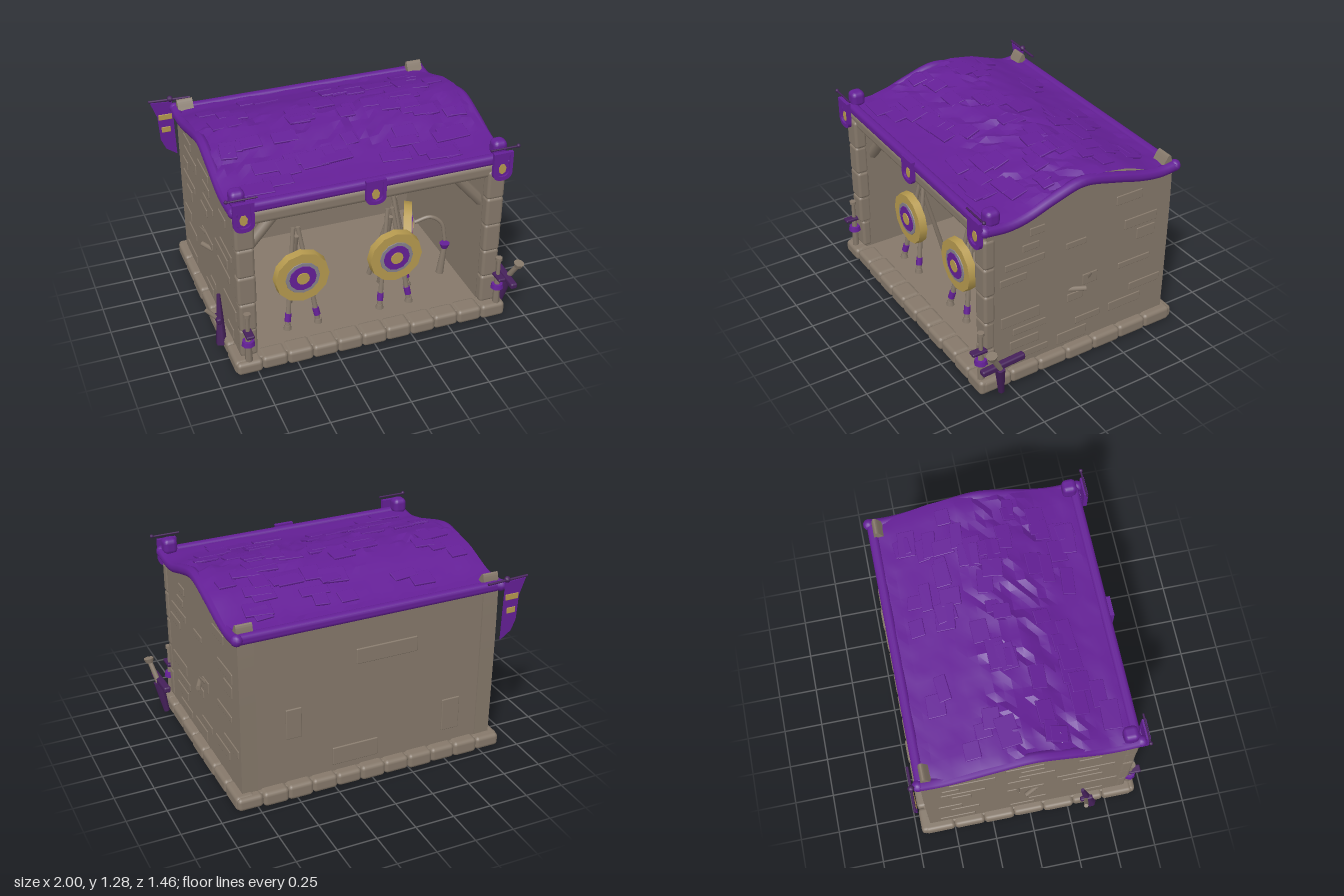
import * as THREE from 'three';
import { toCreasedNormals } from 'three/addons/utils/BufferGeometryUtils.js';
import { RoundedBoxGeometry } from 'three/addons/geometries/RoundedBoxGeometry.js';

const mat = (name, color, side = THREE.FrontSide) => {
  const m = new THREE.MeshStandardMaterial({ color, side });
  m.name = name;
  return m;
};
const V = (x, y, z) => new THREE.Vector3(x, y, z);

export function createModel() {
  const stone = mat('weathered stone', 0x85786a);
  const purple = mat('purple', 0x641f96, THREE.DoubleSide);
  const plum = mat('dark plum', 0x45205a);
  const gold = mat('straw gold', 0xb5994e);
  const grey = mat('grey paint', 0x85808a);

  const model = new THREE.Group();
  let seed = 7;
  const rnd = (a, b) => {
    seed = (seed * 16807) % 2147483647;
    return a + (b - a) * (seed / 2147483647);
  };
  const add = (name, geo, material, pos = [0, 0, 0], parent = model) => {
    const m = new THREE.Mesh(geo, material);
    m.name = name;
    m.position.set(...pos);
    parent.add(m);
    return m;
  };
  const box = (name, size, pos, material, r = 0.012, parent = model) =>
    add(name, new RoundedBoxGeometry(...size, 2, Math.min(r, Math.min(...size) / 2.1)), material, pos, parent);
  // Tapered rod between two points
  const rod = (name, a, b, r0, r1, material, parent = model, sides = 8) => {
    const m = add(name, new THREE.CylinderGeometry(r1, r0, a.distanceTo(b), sides), material, [0, 0, 0], parent);
    m.position.copy(a).lerp(b, 0.5);
    m.quaternion.setFromUnitVectors(V(0, 1, 0), b.clone().sub(a).normalize());
    return m;
  };

  // Floor and the row of worn stones round its edge
  box('floor', [1.7, 0.08, 1.34], [0, 0.055, -0.01], stone);
  for (const z of [0.63, -0.65])
    for (let i = 0; i < 11; i++)
      box('baseStone', [0.162, rnd(0.083, 0.098), rnd(0.12, 0.145)], [-0.8 + i * 0.16, 0.056, z], stone, 0.025);
  for (const x of [-0.825, 0.825])
    for (let i = 0; i < 7; i++)
      box('baseStone', [rnd(0.11, 0.135), rnd(0.083, 0.098), 0.2], [x, 0.056, 0.58 - i * 0.196], stone, 0.025);

  // Gable walls: extruded from their curved outline
  const eave = [[-0.67, 1.13], [-0.56, 1.12], [-0.42, 1.14], [-0.22, 1.195], [0, 1.24], [0.2, 1.19],
    [0.38, 1.13], [0.5, 1.115], [0.64, 1.13]];
  const wallShape = new THREE.Shape();
  wallShape.moveTo(-0.655, 0.06);
  wallShape.splineThru(eave.map(([z, y]) => new THREE.Vector2(THREE.MathUtils.clamp(z, -0.655, 0.62), y)));
  wallShape.lineTo(0.62, 0.06);
  const wallGeo = new THREE.ExtrudeGeometry(wallShape, { depth: 0.1, bevelEnabled: false, curveSegments: 40 });
  wallGeo.rotateY(-Math.PI / 2);
  for (const x of [-0.735, 0.835]) add('sideWall', toCreasedNormals(wallGeo.clone(), 0.6), stone, [x, 0, 0]);
  box('backWall', [1.62, 1.06, 0.11], [0, 0.58, -0.595], stone);
  box('ceiling', [1.6, 0.03, 1.2], [0, 1.06, 0], stone);
  box('frontBeam', [1.66, 0.09, 0.11], [0, 1.055, 0.575], stone, 0.03);

  // Raised blocks in the walls
  for (const s of [-1, 1])
    for (let row = 0; row < 10; row++)
      for (let k = 0; k < 3; k++)
        if (rnd(0, 1) > 0.35)
          box('wallBlock', [0.012, rnd(0.04, 0.08), rnd(0.1, 0.28)],
            [s * 0.835, 0.16 + row * 0.095, -0.43 + k * 0.4 + rnd(-0.08, 0.08)], stone, 0.005);
  for (const [x, y, w, h] of [[-0.55, 0.3, 0.12, 0.22], [0.5, 0.5, 0.1, 0.2], [0.1, 0.2, 0.3, 0.12], [-0.1, 0.85, 0.4, 0.1]])
    box('wallBlock', [w, h, 0.014], [x, y, -0.652], stone, 0.006);
  for (const [x, y, w, h] of [[0, 0.78, 0.32, 0.12], [-0.4, 0.55, 0.3, 0.3], [0.45, 0.85, 0.35, 0.1]])
    box('innerBlock', [w, h, 0.02], [x, y, -0.535], stone, 0.008);

  // Corner posts, braces, side loops and wall spikes
  for (const s of [-1, 1]) {
    for (let i = 0; i < 5; i++)
      box('cornerPost', [rnd(0.1, 0.12), 0.196, rnd(0.06, 0.085)], [s * 0.785, 0.2 + i * 0.19, 0.605], stone, 0.02);
    rod('cornerBrace', V(s * 0.75, 0.79, 0.52), V(s * 0.55, 1.02, 0.52), 0.035, 0.035, stone);
    rod('backBrace', V(s * 0.75, 0.8, -0.48), V(s * 0.55, 1.04, -0.48), 0.03, 0.03, stone);
    rod('wallSpike', V(s * 0.82, 0.54, -0.08), V(s * 0.87, 0.6, -0.08), 0.02, 0.003, stone, model, 5);
    rod('wallPeg', V(s * 0.82, 0.5, 0.06), V(s * 0.87, 0.5, -0.04), 0.016, 0.016, stone);
  }

  // Roof sheet: a grid raised to a rippled ridge profile
  const crown = [[-0.68, 1.14], [-0.56, 1.15], [-0.44, 1.19], [-0.3, 1.24], [-0.14, 1.268], [0, 1.268],
    [0.15, 1.24], [0.3, 1.195], [0.45, 1.16], [0.63, 1.15]];
  const roofY = (z) => {
    const i = Math.max(1, crown.findIndex((p) => p[0] >= z));
    const [[z0, y0], [z1, y1]] = [crown[i - 1], crown[i]];
    return y0 + (y1 - y0) * THREE.MathUtils.clamp((z - z0) / (z1 - z0), 0, 1);
  };
  const roofGeo = new THREE.PlaneGeometry(1.7, 1.29, 28, 24).rotateX(-Math.PI / 2).translate(0, 0, -0.03);
  const rp = roofGeo.attributes.position;
  for (let i = 0; i < rp.count; i++) {
    const x = rp.getX(i), z = rp.getZ(i);
    const edge = Math.abs(x) > 0.8 || z > 0.58 || z < -0.64;
    const rough = z > -0.2 && z < 0.3 ? 0.014 : 0.005;
    rp.setY(i, roofY(z) - (edge ? 0.008 : 0) + (edge ? 0 : rnd(-rough, rough)));
  }
  add('roof', toCreasedNormals(roofGeo, 0.35), purple);

  // Loose shingles lying on the slopes
  for (let i = 0; i < 60; i++) {
    const z = rnd(-0.52, 0.52), x = rnd(-0.76, 0.76);
    const m = box('shingle', [rnd(0.08, 0.2), 0.014, rnd(0.07, 0.13)], [x, roofY(z) + 0.004, z], purple, 0.004);
    m.rotation.x = -Math.atan2(roofY(z + 0.05) - roofY(z - 0.05), 0.1) + rnd(-0.04, 0.08);
    m.rotation.y = rnd(-0.12, 0.12);
  }

  // Rolled roof trim on the gables and eaves
  const rake = new THREE.CatmullRomCurve3(eave.map(([z, y]) => V(0, y, z)));
  for (const x of [-0.84, 0.84]) {
    add('gableTrim', new THREE.TubeGeometry(rake, 40, 0.034, 8), purple, [x, 0, 0]);
    for (const p of [eave[0], eave[8]])
      add('trimEnd', new THREE.SphereGeometry(0.036, 10, 8), purple, [x, p[1], p[0]]);
    box('cornerCap', [0.09, 0.1, 0.09], [x * 0.96, 1.19, 0.58], purple, 0.03);
  }
  box('frontTrim', [1.68, 0.065, 0.06], [0, 1.132, 0.615], purple, 0.025);
  box('backTrim', [1.68, 0.065, 0.06], [0, 1.125, -0.655], purple, 0.025);

  // Shield-shaped banners: framed cloth with a gold mark
  const shield = (w, h) => {
    const s = new THREE.Shape();
    s.moveTo(-w, 0);
    s.lineTo(w, 0);
    s.lineTo(w, -h * 0.75);
    s.quadraticCurveTo(w * 0.9, -h, 0, -h);
    s.quadraticCurveTo(-w * 0.9, -h, -w, -h * 0.75);
    return s;
  };
  const frameBanner = (name, x, y, w, h, z) => {
    const g = new THREE.Group();
    g.name = name;
    g.position.set(x, y, z);
    model.add(g);
    const rim = shield(w, h);
    const hole = new THREE.Path(shield(w * 0.68, h * 0.76).getPoints(6).map((p) => p.add(new THREE.Vector2(0, -h * 0.1))));
    rim.holes.push(hole);
    add('bannerFrame', new THREE.ExtrudeGeometry(rim, { depth: 0.025, bevelEnabled: false }), purple, [0, 0, -0.012], g);
    add('bannerCloth', new THREE.ExtrudeGeometry(shield(w * 0.8, h * 0.9), { depth: 0.008, bevelEnabled: false }), purple, [0, -0.004, -0.008], g);
    const mark = add('bannerMark', new THREE.CylinderGeometry(w * 0.4, w * 0.4, 0.006, 7), gold, [0, -h * 0.6, 0.002], g);
    mark.rotation.x = Math.PI / 2;
    mark.scale.z = 1.4;
  };
  frameBanner('centreShield', 0, 1.17, 0.062, 0.16, 0.65);
  for (const s of [-1, 1]) {
    frameBanner('frontBanner', s * 0.795, 1.2, 0.062, 0.185, 0.672);
    rod('bannerPole', V(s * 0.71, 1.225, 0.672), V(s * 0.89, 1.225, 0.672), 0.006, 0.006, plum);
    add('poleKnob', new THREE.SphereGeometry(0.012, 8, 6), plum, [s * 0.89, 1.228, 0.672]);
  }

  // Torn pennant at the back corner
  const pennant = new THREE.Shape([[-0.99, 1.17], [-0.85, 1.16], [-0.84, 0.78], [-0.91, 0.83], [-0.94, 0.9], [-0.95, 1.06]]
    .map((p) => new THREE.Vector2(...p)));
  add('pennant', new THREE.ExtrudeGeometry(pennant, { depth: 0.008, bevelEnabled: false }), purple, [0, 0, -0.712]);
  for (const [y, w] of [[1.06, 0.09], [0.97, 0.06]])
    box('pennantMark', [w, 0.04, 0.014], [-0.9, y, -0.708], gold, 0.004);
  rod('pennantPole', V(-1, 1.18, -0.71), V(-0.73, 1.17, -0.71), 0.008, 0.008, plum);
  add('poleKnob', new THREE.SphereGeometry(0.02, 8, 6), plum, [-0.86, 1.18, -0.71]);

  // Straw targets on three-legged stands
  const target = (x, z, yaw) => {
    const g = new THREE.Group();
    g.name = 'archeryTarget';
    g.position.set(x, 0, z);
    g.rotation.y = yaw;
    model.add(g);
    const disc = (name, r, depth, front, m) =>
      add(name, new THREE.CylinderGeometry(r * 0.97, r, depth, 12).rotateX(Math.PI / 2), m, [0, 0.465, front - depth / 2], g);
    disc('strawDisc', 0.176, 0.05, 0.025, gold);
    disc('greyRing', 0.112, 0.008, 0.029, grey);
    disc('purpleRing', 0.088, 0.008, 0.033, purple);
    disc('bullseye', 0.042, 0.008, 0.038, gold);
    for (const s of [-1, 1]) {
      rod('frontLeg', V(s * 0.1, 0.1, 0.01), V(s * 0.06, 0.42, -0.04), 0.018, 0.013, stone, g);
      rod('legBand', V(s * 0.096, 0.15, 0.005), V(s * 0.088, 0.2, -0.005), 0.021, 0.021, purple, g);
      rod('legTop', V(s * 0.06, 0.42, -0.04), V(s * 0.015, 0.75, -0.1), 0.014, 0.014, stone, g);
      rod('legFoot', V(s * 0.1, 0.09, 0.01), V(s * 0.1, 0.125, 0.01), 0.028, 0.02, stone, g);
    }
    rod('backLeg', V(0, 0.1, -0.24), V(0, 0.7, -0.08), 0.017, 0.013, stone, g);
  };
  target(-0.39, 0.45, 0);
  target(0.22, 0.45, 0);
  target(0.41, 0.2, 1.15);

  // Bent arm stand beside the targets
  const arm = new THREE.CatmullRomCurve3([V(0.46, 0.5, 0.2), V(0.56, 0.53, 0.22), V(0.63, 0.48, 0.24), V(0.655, 0.35, 0.25)]);
  add('bentArm', new THREE.TubeGeometry(arm, 16, 0.013, 7), stone);
  rod('armCup', V(0.655, 0.29, 0.25), V(0.655, 0.325, 0.25), 0.02, 0.034, purple);
  rod('armPost', V(0.63, 0.1, 0.25), V(0.655, 0.3, 0.25), 0.026, 0.017, stone);

  // Standing swords by the front posts
  for (const x of [-0.8, 0.83]) {
    rod('swordBlade', V(x, 0.09, 0.665), V(x, 0.3, 0.665), 0.024, 0.018, stone, model, 6);
    rod('swordCollar', V(x, 0.215, 0.665), V(x, 0.245, 0.665), 0.042, 0.036, purple);
    box('swordGuard', [0.05, 0.022, 0.1], [x, 0.305, 0.68], plum, 0.008);
    rod('swordGrip', V(x, 0.31, 0.665), V(x, 0.43, 0.665), 0.013, 0.013, stone);
    rod('swordPommel', V(x, 0.42, 0.665), V(x, 0.44, 0.665), 0.022, 0.022, stone);
  }

  // Sword leaning against the left wall
  rod('leaningBlade', V(0.9, 0.01, 0.57), V(0.935, 0.22, 0.6), 0.02, 0.034, plum, model, 6);
  box('leaningGuard', [0.045, 0.04, 0.29], [0.925, 0.235, 0.575], plum, 0.012).rotation.x = 0.06;
  rod('leaningGrip', V(0.935, 0.22, 0.6), V(0.965, 0.35, 0.67), 0.018, 0.016, stone);
  rod('leaningPommel', V(0.965, 0.34, 0.67), V(0.968, 0.37, 0.676), 0.024, 0.034, stone);

  // Sword leaning against the right wall
  rod('wallBlade', V(-0.895, 0.05, 0.4), V(-0.88, 0.37, 0.33), 0.035, 0.012, plum, model, 6);
  rod('wallGrip', V(-0.89, 0.2, 0.36), V(-0.965, 0.28, 0.34), 0.014, 0.014, stone);
  box('wallGuard', [0.03, 0.04, 0.08], [-0.9, 0.21, 0.36], plum, 0.01);
  return model;
}
